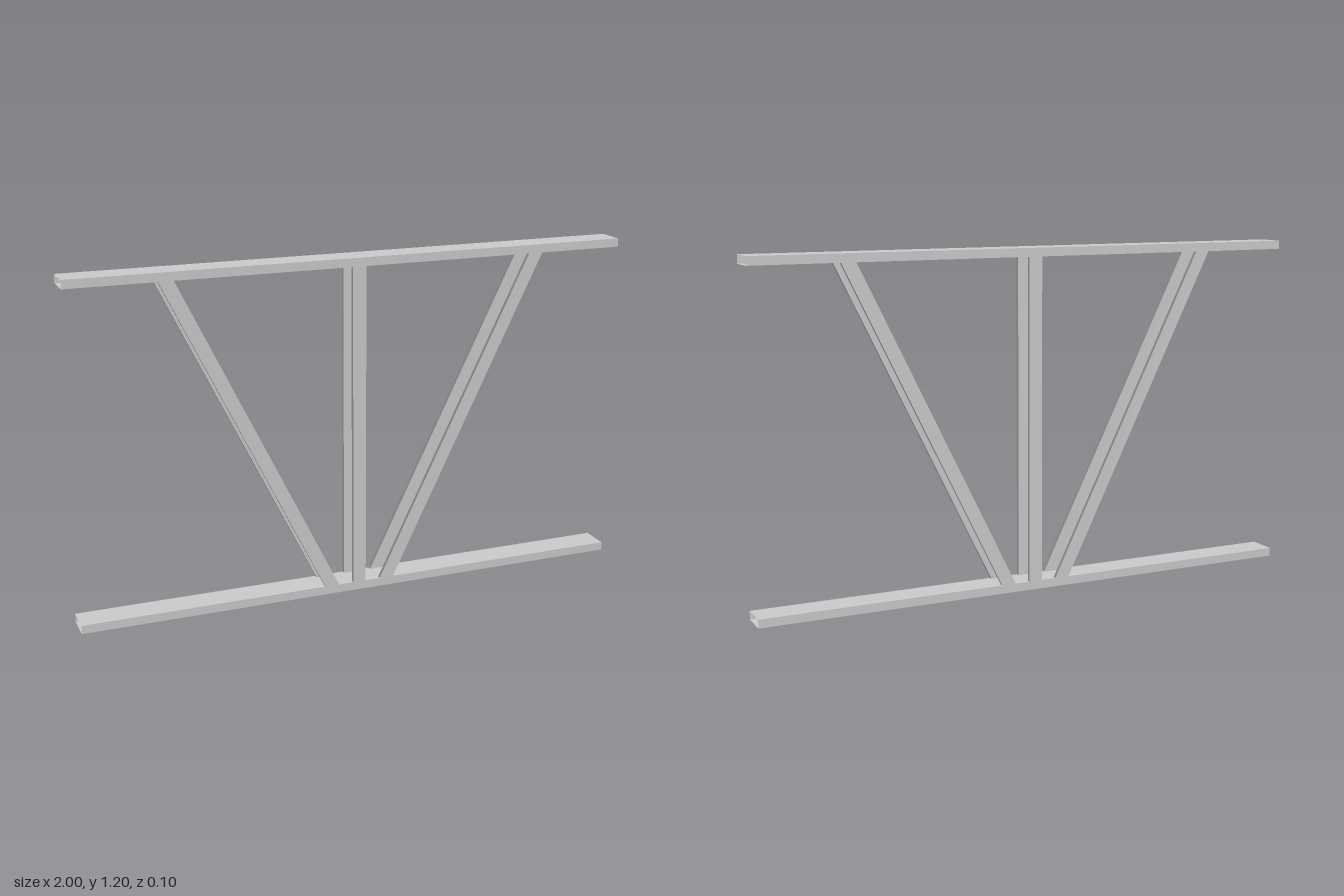
import * as THREE from 'three';

const HEIGHT = 1.2, RAIL = 0.03, HALF_DEPTH = 0.052, WEB = 0.014;

export function createModel() {
  const model = new THREE.Group();
  model.name = 'trussFrame';
  const material = new THREE.MeshStandardMaterial({ color: 0xcccccc, side: THREE.DoubleSide });

  const add = (name, geometry) => {
    const mesh = new THREE.Mesh(geometry, material);
    mesh.name = name;
    model.add(mesh);
    return mesh;
  };

  // Thin-walled rectangular rails, open at both ends
  const railGeometry = new THREE.BoxGeometry(2, RAIL, 2 * HALF_DEPTH);
  // the first 12 indices are the two end caps
  railGeometry.setIndex(Array.from(railGeometry.index.array).slice(12));
  add('bottomRail', railGeometry).position.y = RAIL / 2;
  add('topRail', railGeometry).position.y = HEIGHT - RAIL / 2;

  // Flat web bar with level ends, running from one rail to the other
  const webGeometry = (bottomX, topX, halfWidth) => {
    const low = RAIL, high = HEIGHT - RAIL;
    const shape = new THREE.Shape([
      new THREE.Vector2(bottomX - halfWidth, low),
      new THREE.Vector2(bottomX + halfWidth, low),
      new THREE.Vector2(topX + halfWidth, high),
      new THREE.Vector2(topX - halfWidth, high),
    ]);
    return new THREE.ExtrudeGeometry(shape, { depth: WEB, bevelEnabled: false });
  };

  // Each web is a pair of bars flush with the front and back of the rails
  const webs = [
    ['Post', 0, 0, 0.024],
    ['LeftBrace', 0.104, 0.666, 0.026],
    ['RightBrace', -0.104, -0.666, 0.026],
  ];
  for (const [name, bottomX, topX, halfWidth] of webs) {
    const geometry = webGeometry(bottomX, topX, halfWidth);
    add('front' + name, geometry).position.z = HALF_DEPTH - WEB;
    add('back' + name, geometry).position.z = -HALF_DEPTH;
  }
  return model;
}
